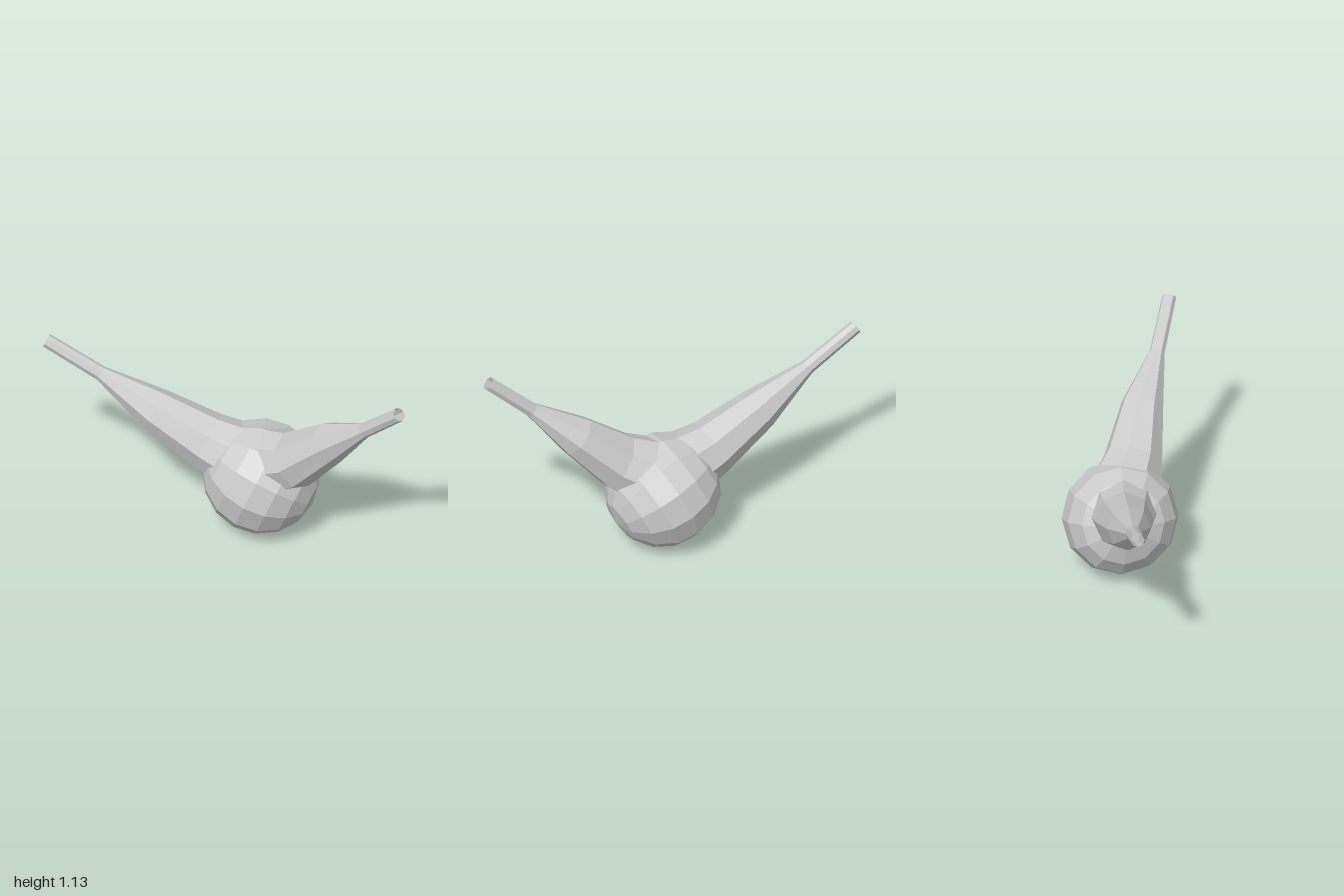
import * as THREE from 'three';

const material = new THREE.MeshStandardMaterial({ color: 0xcccccc, flatShading: true, side: THREE.DoubleSide });

// Open faceted tube through rings given as [x, y, z, radius]
function loft(rings, sides = 8) {
  const centres = rings.map(([x, y, z]) => new THREE.Vector3(x, y, z));
  const positions = [], index = [];
  rings.forEach((ring, i) => {
    const before = centres[Math.max(i - 1, 0)];
    const after = centres[Math.min(i + 1, rings.length - 1)];
    const along = after.clone().sub(before).normalize();
    const side = new THREE.Vector3(0, 1, 0).cross(along).normalize();
    const up = along.clone().cross(side);
    for (let j = 0; j < sides; j++) {
      const a = (j / sides) * Math.PI * 2;
      const p = centres[i].clone()
        .addScaledVector(up, Math.cos(a) * ring[3])
        .addScaledVector(side, -Math.sin(a) * ring[3]);
      positions.push(p.x, p.y, p.z);
      if (i > 0) {
        const k = (j + 1) % sides, lo = (i - 1) * sides, hi = i * sides;
        index.push(lo + j, lo + k, hi + j, lo + k, hi + k, hi + j);
      }
    }
  });
  const geometry = new THREE.BufferGeometry();
  geometry.setAttribute('position', new THREE.Float32BufferAttribute(positions, 3));
  geometry.setIndex(index);
  geometry.computeVertexNormals();
  return geometry;
}

export function createModel() {
  const model = new THREE.Group();
  const add = (name, geometry) => {
    const mesh = new THREE.Mesh(geometry, material);
    mesh.name = name;
    model.add(mesh);
    return mesh;
  };

  // Round faceted body, its pole tilted to one side
  const body = add('body', new THREE.SphereGeometry(0.305, 12, 8));
  body.position.set(0.055, 0.298, -0.15);
  body.quaternion.setFromUnitVectors(
    new THREE.Vector3(0, 1, 0),
    new THREE.Vector3(0.8, -0.38, -0.45).normalize()
  );

  // Two tapered arms ending in thin open tubes
  add('leftArm', loft([
    [0.03, 0.38, -0.15, 0.2],
    [0.29, 0.51, -0.18, 0.155],
    [0.505, 0.705, -0.225, 0.112],
    [0.74, 0.893, -0.246, 0.04],
    [0.967, 1.092, -0.28, 0.037],
  ]));
  add('rightArm', loft([
    [0.08, 0.36, -0.15, 0.21],
    [-0.2, 0.46, -0.01, 0.155],
    [-0.455, 0.6, 0.13, 0.115],
    [-0.715, 0.757, 0.27, 0.04],
    [-0.972, 0.903, 0.415, 0.037],
  ]));

  return model;
}
